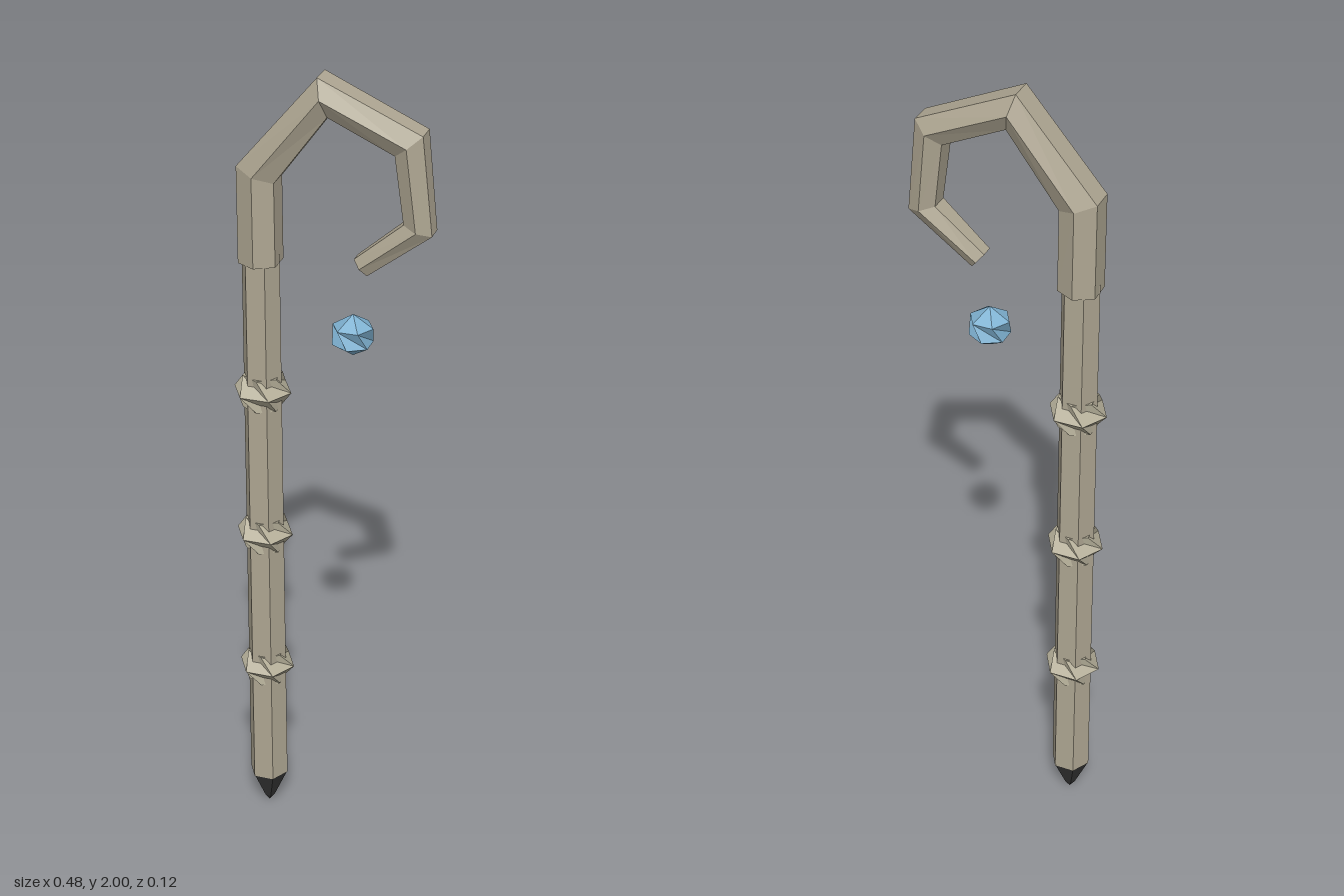
import * as THREE from 'three';

const paint = (name, color) => {
  const m = new THREE.MeshStandardMaterial({ color, flatShading: true });
  m.name = name;
  return m;
};

// Skin a list of equal-length cross-sections and close both ends, with faceted normals
function loft(sections) {
  const pos = [];
  const tri = (...pts) => pts.forEach((p) => pos.push(p.x, p.y, p.z));
  const n = sections[0].length;
  for (let k = 0; k < sections.length - 1; k++) {
    const s = sections[k], t = sections[k + 1];
    for (let i = 0; i < n; i++) {
      const j = (i + 1) % n;
      if (!s[i].equals(s[j])) tri(s[i], s[j], t[j]);
      if (!t[i].equals(t[j])) tri(s[i], t[j], t[i]);
    }
  }
  const cap = (s, flip) => {
    if (s[0].equals(s[1])) return;
    const c = s.reduce((a, p) => a.add(p), new THREE.Vector3()).divideScalar(n);
    for (let i = 0; i < n; i++) {
      const j = (i + 1) % n;
      if (flip) tri(c, s[j], s[i]);
      else tri(c, s[i], s[j]);
    }
  };
  cap(sections[0], true);
  cap(sections[sections.length - 1], false);
  const g = new THREE.BufferGeometry();
  g.setAttribute('position', new THREE.Float32BufferAttribute(pos, 3));
  g.computeVertexNormals();
  return g;
}

// Six-sided section at a height, turned by some degrees (list sections top to bottom)
const hex = (radius, y, turn = 0) => Array.from({ length: 6 }, (_, i) => {
  const a = (i * 60 + turn) * Math.PI / 180;
  return new THREE.Vector3(radius * Math.cos(a), y, radius * Math.sin(a));
});

export function createModel() {
  const wood = paint('wood', 0xaea692);
  const ringWood = paint('ring wood', 0xb6b09a);
  const iron = paint('dark iron', 0x343434);
  const gem = paint('blue crystal', 0x7fb2d2);

  const model = new THREE.Group();
  model.name = 'crookedStaff';
  const add = (name, geometry, material, x = 0, y = 0) => {
    const mesh = new THREE.Mesh(geometry, material);
    mesh.name = name;
    mesh.position.set(x, y, 0);
    model.add(mesh);
  };
  const shaftX = -0.172;

  // Tapered shaft and pointed foot
  add('shaft', loft([hex(0.046, 1.56), hex(0.05, 0.1)]), wood, shaftX);
  add('footSpike', loft([hex(0.05, 0.104), hex(0.014, 0.02), hex(0, 0)]), iron, shaftX);

  // Twisted rings around the shaft
  [0.435, 0.822, 1.21].forEach((y, i) => add(`shaftRing${i + 1}`,
    loft([hex(0.048, 0.042, 90), hex(0.071, 0), hex(0.048, -0.042, -90)]), ringWood, shaftX, y));

  // Crook: outer edge x, y, inner edge x, y, half depth
  const crook = [
    [-0.217, 1.54, -0.127, 1.54, 0.053],
    [-0.217, 1.775, -0.128, 1.743, 0.053],
    [-0.026, 2.0, -0.003, 1.912, 0.052],
    [0.214, 1.892, 0.151, 1.84, 0.047],
    [0.238, 1.66, 0.172, 1.68, 0.04],
    [0.087, 1.543, 0.056, 1.58, 0.028],
  ].map(([ox, oy, ix, iy, r]) => {
    const cx = (ox + ix) / 2, cy = (oy + iy) / 2, h = r * 0.55;
    return [[ox, oy, -h], [ox, oy, h], [cx, cy, r], [ix, iy, h], [ix, iy, -h], [cx, cy, -r]]
      .map((p) => new THREE.Vector3(...p));
  });
  add('crook', loft(crook), wood);

  // Floating twisted crystal below the crook
  add('crystal', loft([hex(0, 0.052), hex(0.049, 0.021), hex(0.049, -0.021, -90), hex(0, -0.052)]),
    gem, 0.05, 1.385);

  return model;
}
